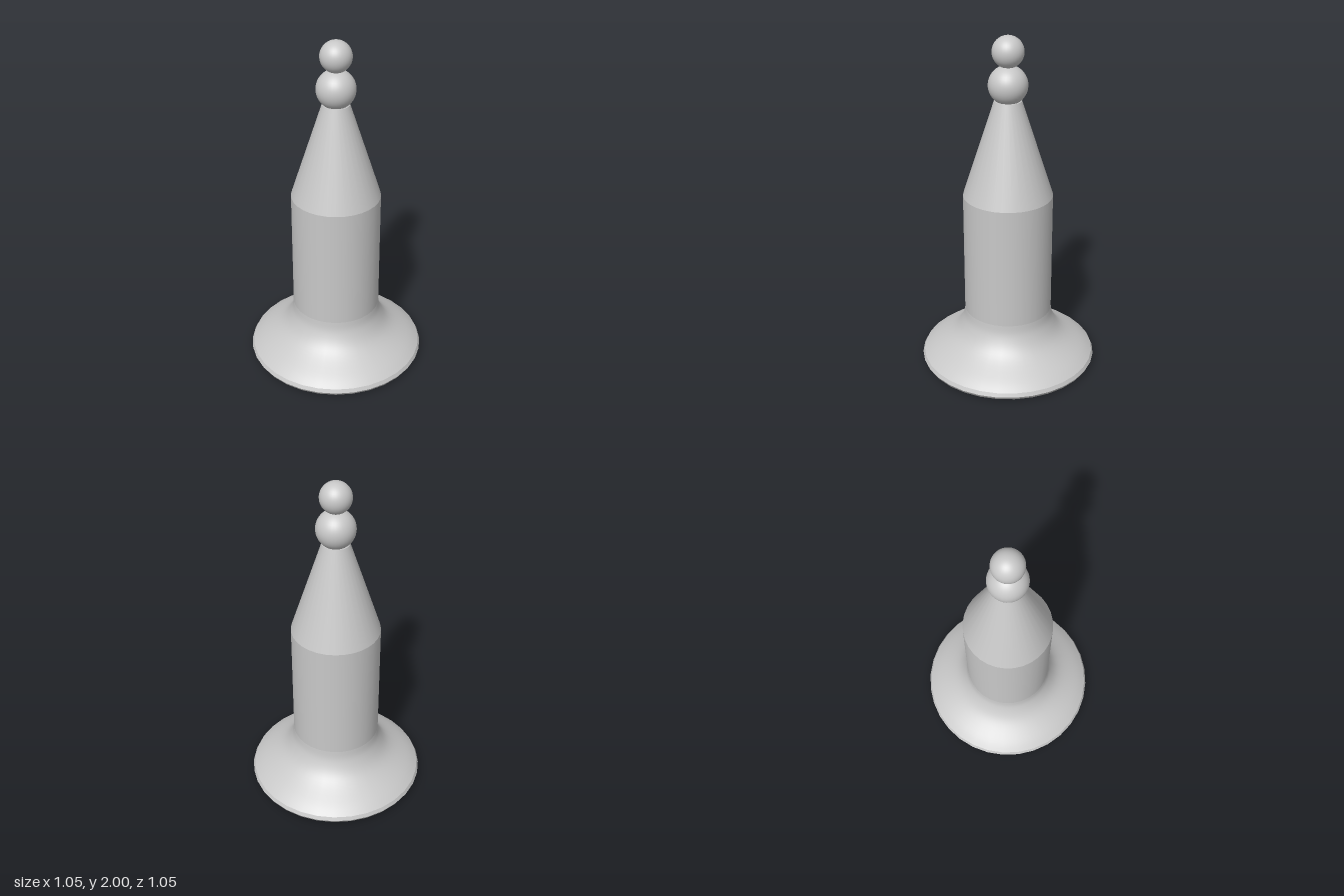
import * as THREE from 'three';

const SEGMENTS = 32;

export function createModel() {
  const model = new THREE.Group();
  model.name = 'turnedPiece';
  const grey = new THREE.MeshStandardMaterial({ color: 0xc8c8c8 });
  grey.name = 'light grey';

  const add = (name, geometry, y = 0) => {
    const mesh = new THREE.Mesh(geometry, grey);
    mesh.name = name;
    mesh.position.y = y;
    model.add(mesh);
  };
  // Profiles run from bottom to top as [radius, height]
  const turn = (points) =>
    new THREE.LatheGeometry(points.map(([r, y]) => new THREE.Vector2(r, y)), SEGMENTS);

  // Foot: flat underside, bevelled edge and a narrow rim
  add('footUnderside', turn([[0, 0], [0.495, 0]]));
  add('footBevel', turn([[0.495, 0], [0.515, 0.01], [0.525, 0.028]]));
  add('footRim', turn([[0.525, 0.028], [0.515, 0.05]]));

  // Flare sweeping from the foot into the shaft
  const flare = new THREE.SplineCurve([
    [0.515, 0.05], [0.465, 0.088], [0.36, 0.155], [0.305, 0.21], [0.27, 0.28], [0.26, 0.34],
  ].map(([r, y]) => new THREE.Vector2(r, y)));
  add('flare', new THREE.LatheGeometry(flare.getPoints(20), SEGMENTS));

  // Straight shaft and tapered neck, with a crisp edge between them
  add('shaft', turn([[0.26, 0.34], [0.26, 1.07]]));
  add('taper', turn([[0.26, 1.07], [0.078, 1.635]]));
  add('taperCap', turn([[0.078, 1.635], [0, 1.635]]));

  // Two stacked balls
  add('lowerBall', new THREE.SphereGeometry(0.112, SEGMENTS, 24), 1.723);
  add('upperBall', new THREE.SphereGeometry(0.09, SEGMENTS, 24), 1.91);

  return model;
}
